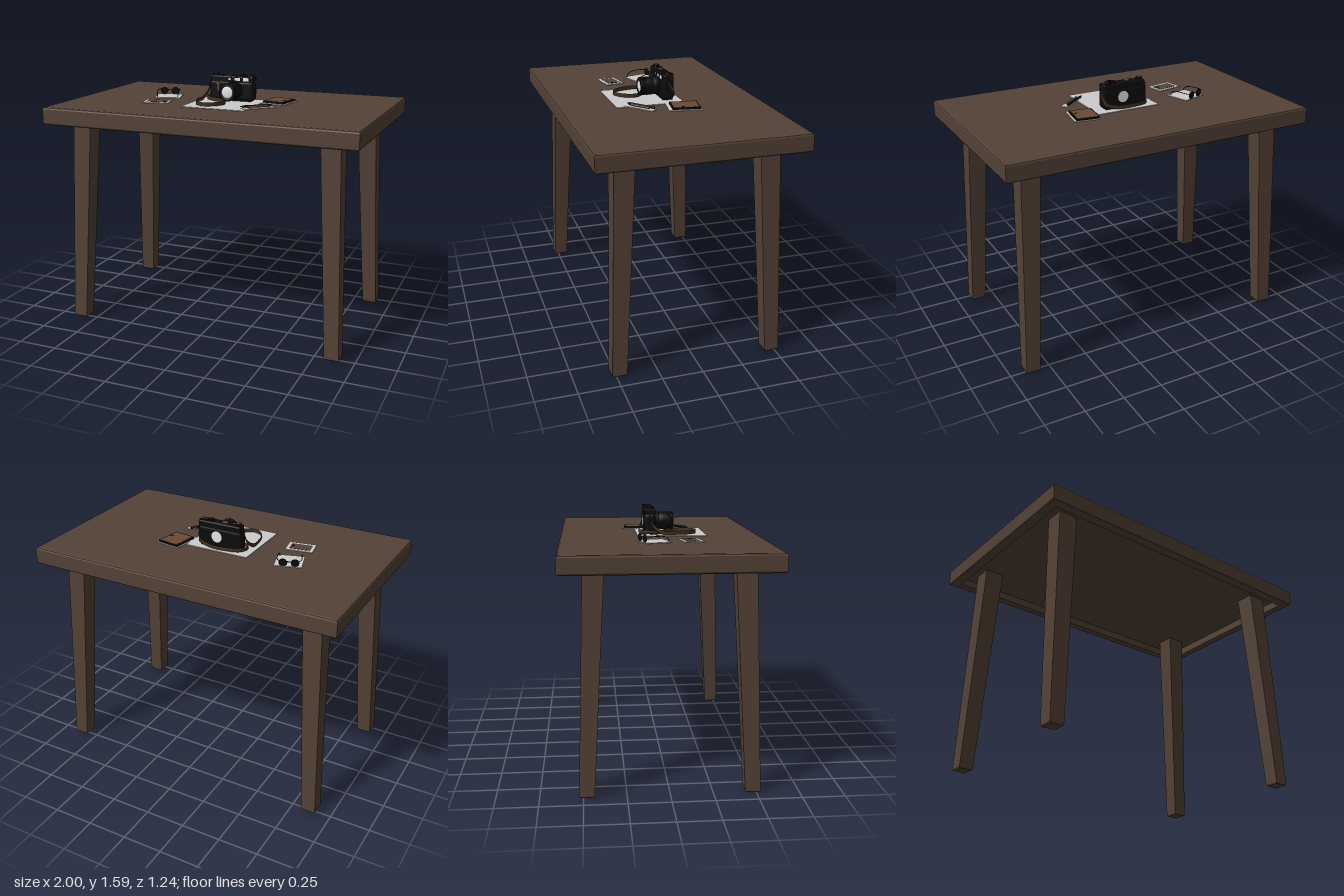
import * as THREE from 'three';
import { RoundedBoxGeometry } from 'three/addons/geometries/RoundedBoxGeometry.js';

const mat = (name, color, side = THREE.FrontSide) => {
  const m = new THREE.MeshStandardMaterial({ color, side });
  m.name = name;
  return m;
};

// Stacks rectangular rings [y, x0, x1, z0, z1] into a closed, flat-shaded solid
function loft(rings) {
  const pos = [];
  const c = rings.map(([y, x0, x1, z0, z1]) => [[x0, y, z1], [x1, y, z1], [x1, y, z0], [x0, y, z0]]);
  const quad = (a, b, d, e) => pos.push(...a, ...b, ...d, ...a, ...d, ...e);
  for (let r = 0; r < c.length - 1; r++)
    for (let i = 0; i < 4; i++) {
      const j = (i + 1) % 4;
      quad(c[r][i], c[r][j], c[r + 1][j], c[r + 1][i]);
    }
  const s = c[0], t = c[c.length - 1];
  quad(s[3], s[2], s[1], s[0]);
  quad(t[0], t[1], t[2], t[3]);
  const g = new THREE.BufferGeometry();
  g.setAttribute('position', new THREE.Float32BufferAttribute(pos, 3));
  g.computeVertexNormals();
  return g;
}

// Upright band of height h following a curve
function ribbon(curve, n, h) {
  const pos = [], idx = [];
  curve.getPoints(n).forEach((p, i) => {
    pos.push(p.x, p.y - h / 2, p.z, p.x, p.y + h / 2, p.z);
    if (i < n) idx.push(2 * i, 2 * i + 2, 2 * i + 3, 2 * i, 2 * i + 3, 2 * i + 1);
  });
  const g = new THREE.BufferGeometry();
  g.setAttribute('position', new THREE.Float32BufferAttribute(pos, 3));
  g.setIndex(idx);
  g.computeVertexNormals();
  return g;
}

const curveOf = (pts) => new THREE.CatmullRomCurve3(pts.map((p) => new THREE.Vector3(...p)));

export function createModel() {
  const model = new THREE.Group();
  const wood = mat('wood', 0x544236);
  const paper = mat('paper', 0xcccccc);
  const black = mat('black', 0x0c0c0d);
  const leather = mat('leather', 0x43301f, THREE.DoubleSide);
  const bronze = mat('bronze', 0x6b4a35);
  const glass = mat('glass', 0xececec);

  const add = (parent, name, geo, material, x = 0, y = 0, z = 0) => {
    const m = new THREE.Mesh(geo, material);
    m.name = name;
    m.position.set(x, y, z);
    parent.add(m);
    return m;
  };
  const group = (name, x, y, z, ry = 0) => {
    const g = new THREE.Group();
    g.name = name;
    g.position.set(x, y, z);
    g.rotation.y = ry;
    model.add(g);
    return g;
  };
  const box = (w, h, d) => new THREE.BoxGeometry(w, h, d);
  const disc = (r, h, n = 24, r2 = r) => new THREE.CylinderGeometry(r, r2, h, n);

  // Table top with softened edges and a recessed underside
  const ring = (y, inset) => [y, -1 + inset, 1 - inset, -0.62 + inset, 0.62 - inset];
  add(model, 'tableTop', loft([ring(1.35, 0.06), ring(1.3, 0.06), ring(1.3, 0.012),
    ring(1.304, 0.004), ring(1.312, 0), ring(1.398, 0), ring(1.406, 0.004), ring(1.41, 0.012)]), wood);

  // Splayed, tapering legs
  const span = (s, a, b) => (s > 0 ? [a, b] : [-b, -a]);
  for (const sx of [-1, 1])
    for (const sz of [-1, 1])
      add(model, 'leg', loft([
        [0, ...span(sx, 0.82, 0.9), ...span(sz, 0.44, 0.52)],
        [0.008, ...span(sx, 0.815, 0.905), ...span(sz, 0.435, 0.525)],
        [1.36, ...span(sx, 0.742, 0.863), ...span(sz, 0.362, 0.483)]]), wood);

  // Paper sheets: centre x, z, width, depth, turn
  const T = 1.41;
  for (const [name, x, z, w, d, ry] of [
    ['largeSheet', -0.005, 0.075, 0.42, 0.43, 0],
    ['notebookSheet', 0.293, -0.103, 0.167, 0.2, -0.15],
    ['glassesSheet', -0.463, -0.058, 0.168, 0.163, 0.3],
    ['photoCard', -0.438, 0.164, 0.172, 0.122, 0.17],
    ['penSheet', 0.248, 0.158, 0.21, 0.045, 0.69],
  ]) add(model, name, box(w, 0.004, d), paper, x, T + (name === 'penSheet' ? 0.004 : 0.002), z).rotation.y = ry;

  // Notebook
  const book = group('notebook', 0.292, T + 0.004, -0.112, -0.15);
  add(book, 'cover', box(0.145, 0.011, 0.17), black, 0, 0.0055, 0);
  add(book, 'coverPanel', box(0.13, 0.002, 0.155), bronze, 0, 0.0115, 0);
  add(book, 'clasp', box(0.02, 0.004, 0.012), black, 0.05, 0.012, 0.02);

  // Photo picture area
  const photo = group('photoPicture', -0.438, T + 0.0045, 0.162, 0.17);
  add(photo, 'picture', box(0.13, 0.002, 0.078), wood);
  add(photo, 'spot', disc(0.011, 0.003, 12), black, 0.05, 0.001, 0.01);

  // Pen and pencil
  const pens = group('pens', 0.24, T + 0.014, 0.146, 0.69);
  for (const [name, z, m, len] of [['pen', -0.006, black, 0.18], ['pencil', 0.012, bronze, 0.13]]) {
    add(pens, name, disc(0.007, len, 10), m, 0, 0, z).rotation.z = Math.PI / 2;
    add(pens, name + 'Tip', disc(0.007, 0.02, 10, 0.001), black, -len / 2 - 0.01, 0, z).rotation.z = -Math.PI / 2;
  }

  // Sunglasses
  const specs = group('sunglasses', -0.492, T + 0.026, -0.13, 0.35);
  for (const s of [-1, 1]) {
    add(specs, 'lens', disc(0.021, 0.004, 20), black, s * 0.036, 0, 0).rotation.x = Math.PI / 2;
    add(specs, 'rim', new THREE.TorusGeometry(0.022, 0.003, 6, 24), black, s * 0.036, 0, 0);
    add(specs, 'temple', new THREE.TubeGeometry(curveOf([[s * 0.058, 0.01, 0], [s * 0.07, 0.012, 0.012],
      [s * 0.07, 0.01, 0.11], [s * 0.068, -0.004, 0.137], [s * 0.066, -0.02, 0.145]]), 20, 0.0025, 6), black);
  }
  add(specs, 'bridge', box(0.03, 0.005, 0.004), black, 0, 0.006, 0);

  // Camera body
  const cam = group('camera', -0.003, T + 0.004, -0.058);
  add(cam, 'body', new RoundedBoxGeometry(0.3, 0.125, 0.072, 4, 0.02), black, 0, 0.066, 0);
  add(cam, 'topPlate', new RoundedBoxGeometry(0.288, 0.05, 0.066, 3, 0.01), black, 0.004, 0.134, 0);
  add(cam, 'basePlate', box(0.26, 0.008, 0.06), black, 0, 0.004, 0);

  // Viewfinder windows on the front
  for (const [x, w, h] of [[0.1, 0.036, 0.022], [0.042, 0.036, 0.018], [-0.01, 0.014, 0.014]]) {
    add(cam, 'windowFrame', box(w + 0.01, h + 0.008, 0.004), black, x, 0.14, 0.034);
    add(cam, 'window', box(w, h, 0.004), glass, x, 0.14, 0.0355);
  }
  add(cam, 'eyepiece', disc(0.012, 0.008, 16), black, -0.1, 0.138, -0.035).rotation.x = Math.PI / 2;

  // Bronze front fittings
  add(cam, 'timerLever', box(0.01, 0.045, 0.005), bronze, -0.088, 0.085, 0.038);
  add(cam, 'timerHub', disc(0.011, 0.008, 16), bronze, -0.088, 0.108, 0.038).rotation.x = Math.PI / 2;
  add(cam, 'frontLatch', box(0.022, 0.007, 0.004), bronze, -0.07, 0.062, 0.037);

  // Lens barrel with grip rings, front glass and rear disc
  const lens = new THREE.Group();
  lens.name = 'lens';
  lens.position.set(0.02, 0.071, 0.03);
  lens.rotation.x = Math.PI / 2;
  cam.add(lens);
  const profile = [[0.05, 0], [0.057, 0.004], [0.057, 0.03], [0.053, 0.033], [0.053, 0.042], [0.057, 0.045],
    [0.057, 0.08], [0.054, 0.083], [0.054, 0.122], [0.05, 0.126], [0.04, 0.126], [0.038, 0.118], [0, 0.118]];
  add(lens, 'barrel', new THREE.LatheGeometry(profile.map((p) => new THREE.Vector2(...p)), 40), black);
  for (let i = 0; i < 4; i++)
    add(lens, 'gripRing', new THREE.TorusGeometry(0.0555, 0.002, 6, 40), black, 0, 0.09 + i * 0.009, 0).rotation.x = Math.PI / 2;
  add(lens, 'frontGlass', new THREE.SphereGeometry(0.039, 32, 8, 0, Math.PI * 2, 0, Math.PI / 2), glass, 0, 0.119, 0).scale.y = 0.22;
  add(cam, 'rearDisc', disc(0.036, 0.003, 32), glass, 0.016, 0.071, -0.0365).rotation.x = Math.PI / 2;

  // Top dials, shutter button, winding lever and accessory shoe
  for (const [name, x, r, h, m] of [['rewindKnob', -0.115, 0.02, 0.012, black], ['speedDial', 0.07, 0.02, 0.01, black],
    ['shutterButton', 0.108, 0.009, 0.009, bronze], ['frameCounter', 0.13, 0.011, 0.007, bronze]])
    add(cam, name, disc(r, h, 24), m, x, 0.158 + h / 2, 0);
  add(cam, 'rewindCap', disc(0.013, 0.002, 20), bronze, -0.115, 0.171, 0);
  add(cam, 'dialMark', box(0.012, 0.002, 0.006), glass, -0.08, 0.16, 0.012);
  add(cam, 'shoe', box(0.036, 0.005, 0.036), bronze, -0.025, 0.161, 0);
  add(cam, 'windLever', box(0.045, 0.005, 0.01), black, 0.115, 0.163, -0.024).rotation.y = 0.2;
  for (const s of [-1, 1])
    add(cam, 'strapLug', new THREE.TorusGeometry(0.008, 0.002, 6, 16), bronze, s * 0.152, 0.12, 0);

  // Strap looping over the sheet and back behind the camera
  add(model, 'strap', ribbon(curveOf([[-0.157, 1.525, -0.058], [-0.168, 1.47, -0.04], [-0.183, 1.428, 0.02],
    [-0.182, 1.427, 0.1], [-0.15, 1.427, 0.195], [-0.085, 1.427, 0.235], [-0.012, 1.427, 0.195], [0.014, 1.427, 0.12],
    [-0.03, 1.427, 0.06], [-0.11, 1.427, 0.02], [-0.172, 1.43, -0.03], [-0.15, 1.43, -0.095], [-0.06, 1.43, -0.122],
    [0.06, 1.43, -0.116], [0.135, 1.455, -0.098], [0.152, 1.525, -0.058]]), 120, 0.024), leather);

  return model;
}
